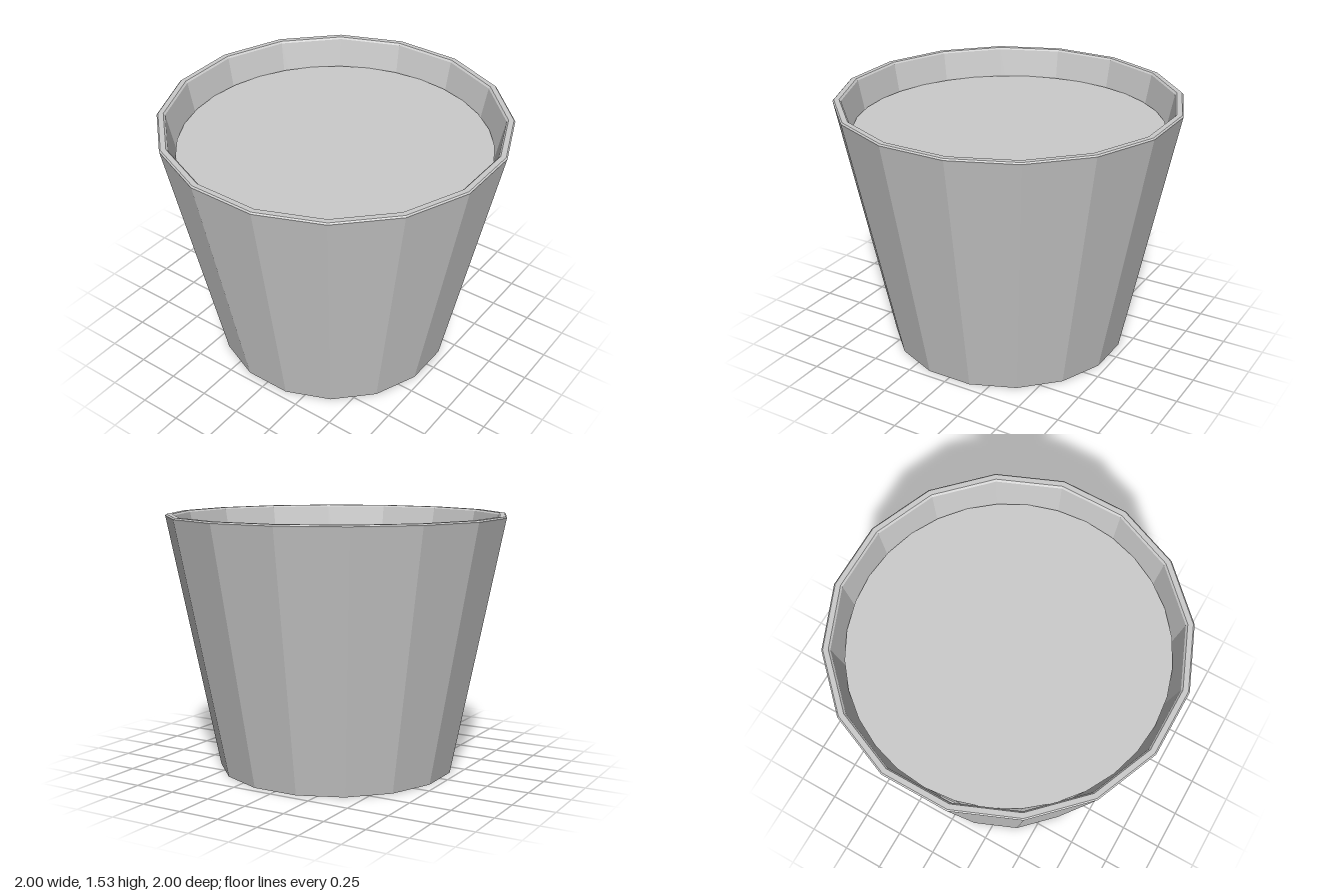
import * as THREE from 'three';

const SIDES = 16;
const TO_CORNER = 1 / Math.cos(Math.PI / SIDES); // flat-to-centre distance -> corner radius

export function createModel() {
  const group = new THREE.Group();
  group.name = 'plantPot';

  // Faceted tapered shell: base, outer wall, bevelled rim, inner wall, inner floor
  const profile = [
    [0, 0], [0.7, 0], [0.998, 1.52], [1, 1.527], [0.992, 1.535],
    [0.962, 1.535], [0.952, 1.525], [0.67, 0.07], [0, 0.07],
  ].map(([r, y]) => new THREE.Vector2(r * TO_CORNER, y));
  const shell = new THREE.Mesh(
    new THREE.LatheGeometry(profile, SIDES).rotateY(Math.PI / SIDES),
    new THREE.MeshStandardMaterial({ color: 0xcccccc, flatShading: true })
  );
  shell.name = 'potShell';
  group.add(shell);

  // Round fill sitting a little below the rim
  const soilTop = 1.36, soilBottom = 0.07;
  const soil = new THREE.Mesh(
    new THREE.CylinderGeometry(0.917, 0.66, soilTop - soilBottom, 32),
    new THREE.MeshStandardMaterial({ color: 0xcccccc })
  );
  soil.name = 'soil';
  soil.position.y = (soilTop + soilBottom) / 2;
  group.add(soil);

  return group;
}
